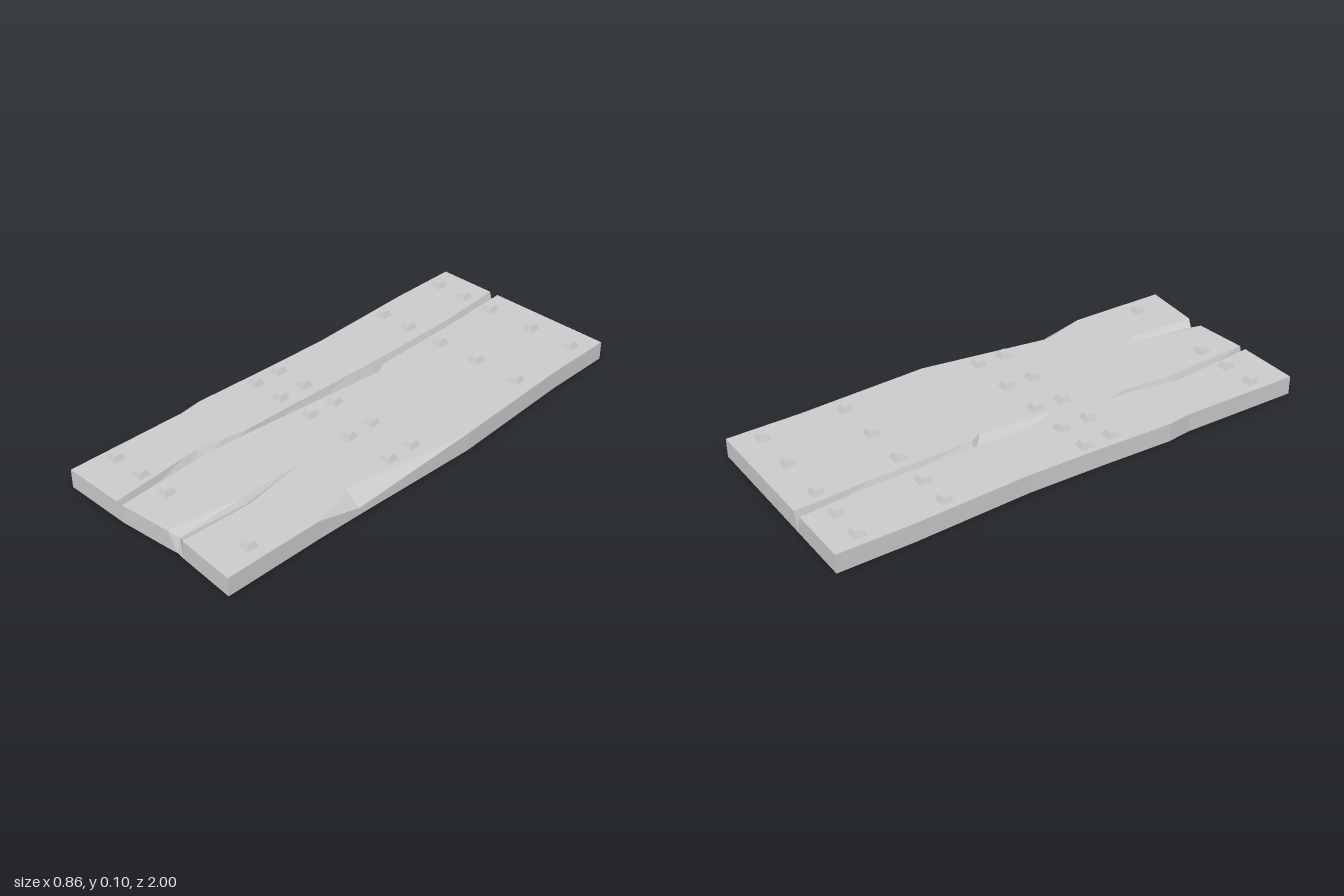
import * as THREE from 'three';

const TOP = 0.077;
const material = new THREE.MeshStandardMaterial({ color: 0xcccccc, flatShading: true, side: THREE.DoubleSide });

// Lengthwise lines of the plank surface, left to right as seen from above: [z, x, y]
const lines = {
  outerLeft: [[-1, -0.43], [-0.7, -0.43], [-0.22, -0.412], [0.1, -0.42], [0.4, -0.432], [0.5, -0.42], [1, -0.43]],
  grooveLeft: [[-1, -0.18], [-0.7, -0.157], [-0.22, -0.155], [0.4, -0.167], [0.61, -0.205], [1, -0.17]],
  grooveBottom: [[-1, -0.157, 0], [-0.7, -0.143, 0.03], [-0.22, -0.14, 0.03], [0.4, -0.16, 0.03], [0.61, -0.18, 0.03], [1, -0.155, 0]],
  grooveRight: [[-1, -0.14], [-0.7, -0.125], [-0.27, -0.115], [-0.22, -0.09], [0.4, -0.146], [0.61, -0.16], [1, -0.14]],
  crackLeft: [[-1, 0.12], [0.4, 0.12], [0.68, 0.122], [1, 0.08]],
  crackBottom: [[-1, 0.12], [0.4, 0.12], [0.68, 0.138, 0.055], [1, 0.117, 0.058]],
  crackRight: [[-1, 0.12], [0.4, 0.12], [0.68, 0.165], [1, 0.155]],
  chipInner: [[-1, 0.4], [-0.7, 0.402], [-0.15, 0.43], [0.4, 0.345], [0.59, 0.405], [1, 0.402]],
  outerRight: [[-1, 0.4], [-0.7, 0.402], [-0.15, 0.43], [0.4, 0.41, 0.03], [0.59, 0.405], [1, 0.402]],
};
const names = Object.keys(lines);
const stations = [-1, -0.7, -0.27, -0.22, -0.15, 0.1, 0.4, 0.5, 0.59, 0.61, 0.68, 1];
// The front end is worn back around the crack
const frontWear = { crackLeft: 0.02, crackBottom: 0.04, crackRight: 0.02 };

function sample(name, z) {
  const line = lines[name];
  let i = 0;
  while (i < line.length - 2 && z > line[i + 1][0]) i++;
  const [z0, x0, y0 = TOP] = line[i];
  const [z1, x1, y1 = TOP] = line[i + 1];
  const t = (z - z0) / (z1 - z0);
  const wear = z === 1 ? frontWear[name] || 0 : 0;
  return new THREE.Vector3(x0 + (x1 - x0) * t, y0 + (y1 - y0) * t, z - wear);
}

// Adds a quad, leaving out triangles that have collapsed
function quad(out, a, b, c, d) {
  for (const tri of [[a, b, c], [a, c, d]]) {
    if (new THREE.Triangle(...tri).getArea() > 1e-7) for (const p of tri) out.push(p.x, p.y, p.z);
  }
}

function surface(name, positions) {
  const geometry = new THREE.BufferGeometry();
  geometry.setAttribute('position', new THREE.Float32BufferAttribute(positions, 3));
  geometry.computeVertexNormals();
  const mesh = new THREE.Mesh(geometry, material);
  mesh.name = name;
  return mesh;
}

export function createModel() {
  const model = new THREE.Group();
  model.name = 'studdedPlank';
  const grid = stations.map((z) => names.map((name) => sample(name, z)));
  const rows = grid.length - 1;
  const cols = names.length - 1;

  // Top face with groove, crack and chipped edge
  const top = [];
  for (let i = 0; i < rows; i++) {
    for (let j = 0; j < cols; j++) quad(top, grid[i][j], grid[i + 1][j], grid[i + 1][j + 1], grid[i][j + 1]);
  }
  model.add(surface('plankTop', top));

  // Side walls round the rim; the underside stays open
  const rim = [];
  for (let i = 0; i < rows; i++) rim.push(grid[i][0]);
  for (let j = 0; j < cols; j++) rim.push(grid[rows][j]);
  for (let i = rows; i > 0; i--) rim.push(grid[i][cols]);
  for (let j = cols; j > 0; j--) rim.push(grid[0][j]);
  const ground = rim.map((p) => new THREE.Vector3(p.x, 0, p.z > 0.95 && p.z < 0.97 ? 0.975 : p.z));
  const walls = [];
  rim.forEach((p, i) => {
    const n = (i + 1) % rim.length;
    quad(walls, p, ground[i], ground[n], rim[n]);
  });
  model.add(surface('plankWalls', walls));

  // Square tapered studs in five rows
  const studGeometry = new THREE.CylinderGeometry(0.03 / Math.SQRT2, 0.05 / Math.SQRT2, 0.1 - TOP, 4, 1, true);
  studGeometry.rotateY(Math.PI / 4);
  const capGeometry = new THREE.PlaneGeometry(0.03, 0.03).rotateX(-Math.PI / 2);
  const studRows = [[-0.885, -0.085], [-0.545, -0.06], [0.05, -0.063], [0.17, -0.07], [0.845, -0.085]];
  for (const [z, middleX] of studRows) {
    for (const x of [-0.37, -0.23, middleX, 0.13, 0.33]) {
      if (z > 0.8 && x === 0.13) continue; // missing beside the crack
      const stud = new THREE.Group();
      stud.name = 'stud';
      const sides = new THREE.Mesh(studGeometry, material);
      sides.name = 'studSides';
      sides.position.y = (TOP + 0.1) / 2;
      const cap = new THREE.Mesh(capGeometry, material);
      cap.name = 'studCap';
      cap.position.y = 0.1;
      stud.add(sides, cap);
      stud.position.set(x, 0, z);
      model.add(stud);
    }
  }
  return model;
}
